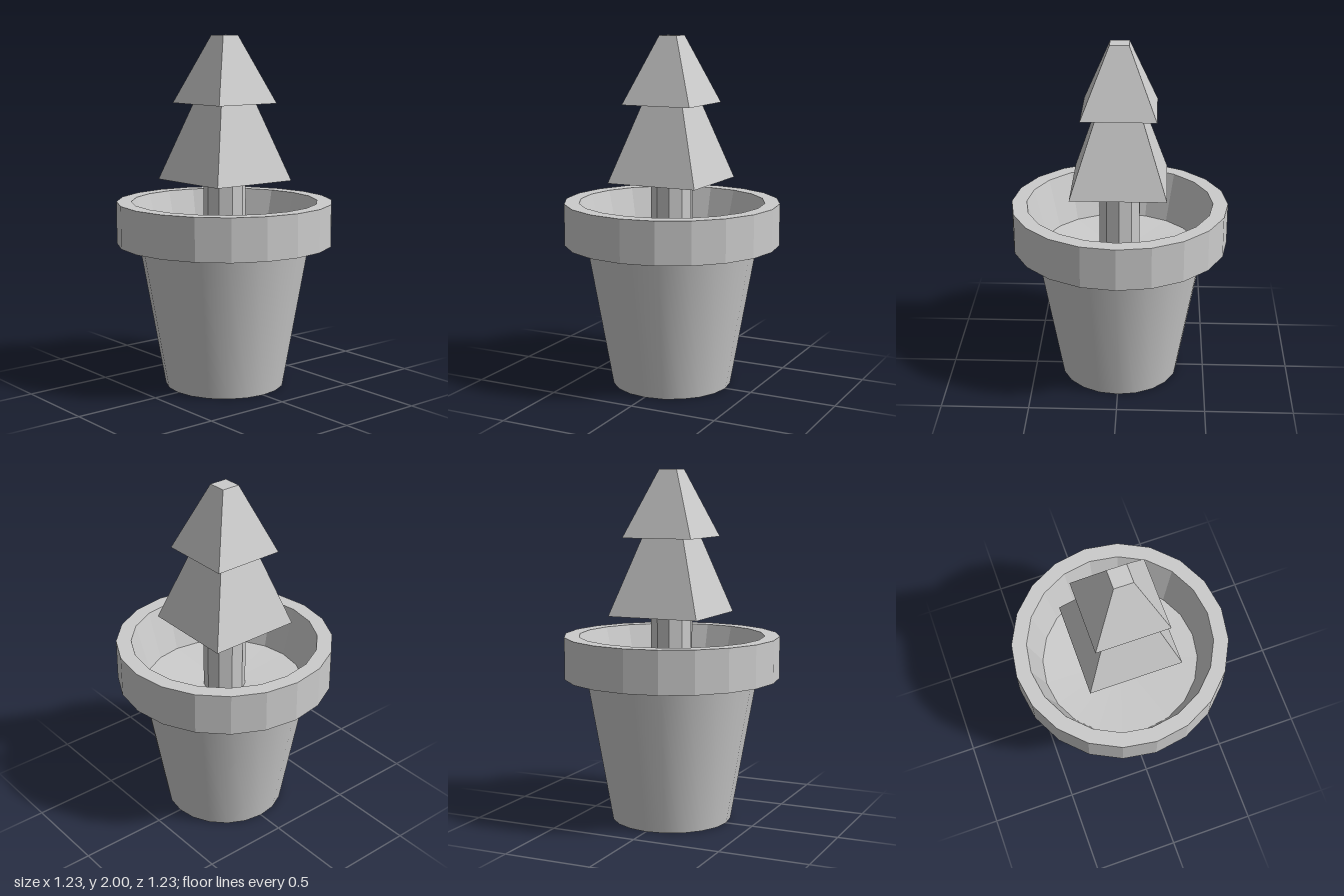
import * as THREE from 'three';

const SIDES = 20;
const flat = new THREE.MeshStandardMaterial({ color: 0xcccccc, flatShading: true });
const smooth = new THREE.MeshStandardMaterial({ color: 0xcccccc });

// Revolve a profile of [radius, y] points
function lathe(profile) {
  return new THREE.LatheGeometry(profile.map(([r, y]) => new THREE.Vector2(r, y)), SIDES);
}

// Square frustum given by half widths and its bottom and top heights
function frustum(topHalf, bottomHalf, y0, y1) {
  const g = new THREE.CylinderGeometry(topHalf * Math.SQRT2, bottomHalf * Math.SQRT2, y1 - y0, 4);
  return g.rotateY(Math.PI / 4).translate(0, (y0 + y1) / 2, 0);
}

export function createModel() {
  const model = new THREE.Group();
  model.name = 'pottedTree';

  function add(name, geometry, material = flat) {
    const mesh = new THREE.Mesh(geometry, material);
    mesh.name = name;
    model.add(mesh);
  }

  // Tapered pot with a smooth wall and a flat base
  add('potBody', lathe([[0.342, 0], [0.488, 0.825]]), smooth);
  add('potBase', new THREE.CircleGeometry(0.342, SIDES).rotateX(Math.PI / 2));

  // Faceted rim: underside, outer band, lip and sloping inner wall
  add('potRim', lathe([[0.485, 0.825], [0.615, 0.825], [0.615, 1.065], [0.53, 1.065], [0.455, 0.785]]));

  // Slightly dished soil
  add('soil', lathe([[0.455, 0.785], [0, 0.755]]));

  // Trunk and the two stacked foliage tiers
  add('trunk', new THREE.CylinderGeometry(0.12, 0.12, 0.44, 10).translate(0, 0.97, 0));
  add('lowerFoliage', frustum(0.125, 0.268, 1.185, 1.62));
  add('upperFoliage', frustum(0.053, 0.208, 1.62, 2));

  return model;
}
